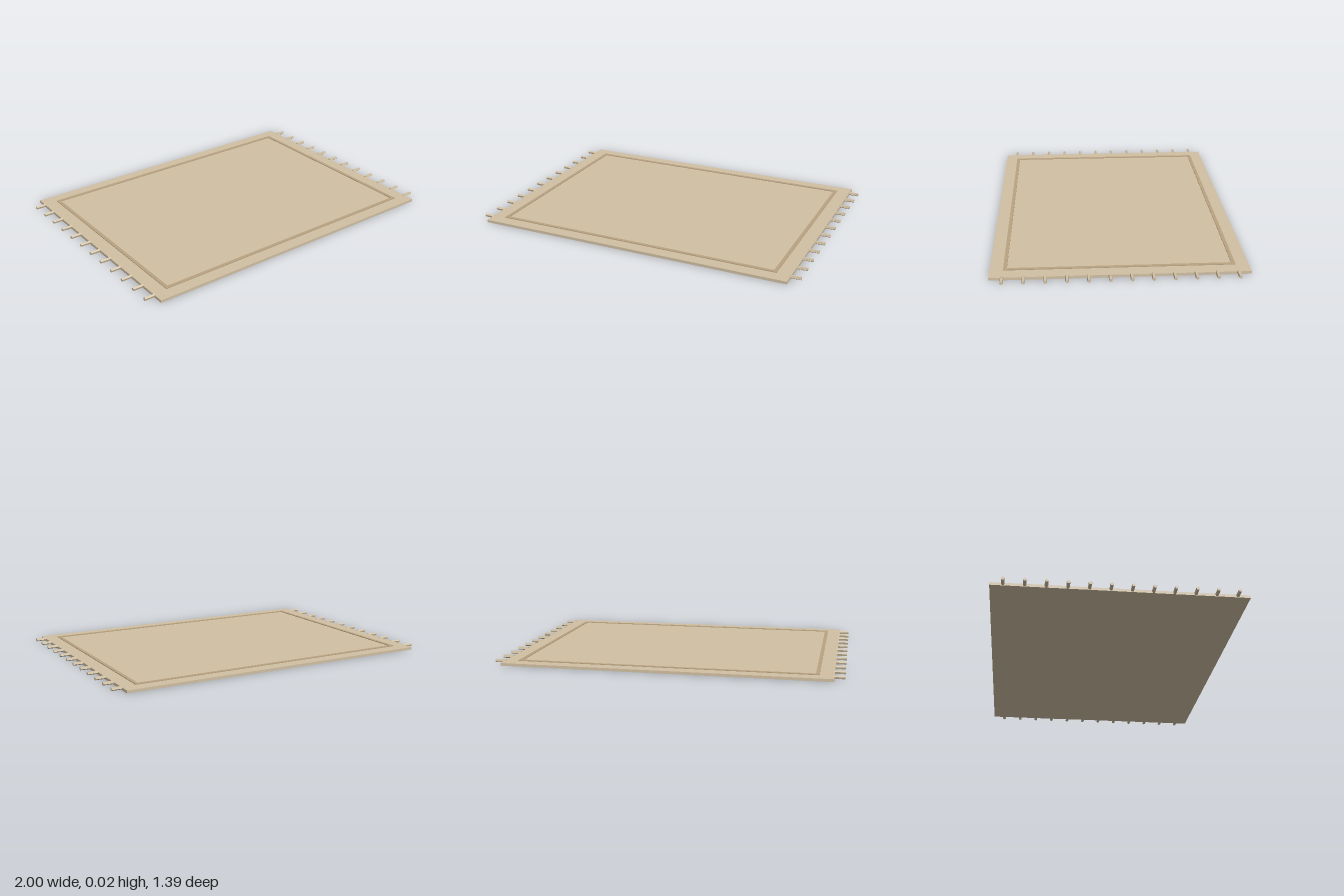
import * as THREE from 'three';

const material = (color) => new THREE.MeshStandardMaterial({ color, flatShading: true });

export function createModel() {
  const group = new THREE.Group();
  group.name = 'rug';
  const wool = material(0xd0bfa3);
  const trim = material(0xb9a382);
  const thickness = 0.016;

  const add = (name, geometry, mat, x, y, z) => {
    const mesh = new THREE.Mesh(geometry, mat);
    mesh.name = name;
    mesh.position.set(x, y, z);
    group.add(mesh);
  };

  // Flat woven slab
  add('rugBody', new THREE.BoxGeometry(1.884, thickness, 1.394), wool, 0, thickness / 2, 0);

  // Raised border frame, one extruded ring sunk slightly into the slab
  const rect = (path, w, d) => path.moveTo(-w, -d).lineTo(w, -d).lineTo(w, d).lineTo(-w, d).closePath();
  const frame = rect(new THREE.Shape(), 0.862, 0.625);
  frame.holes.push(rect(new THREE.Path(), 0.842, 0.605));
  const border = new THREE.ExtrudeGeometry(frame, { depth: 0.01, bevelEnabled: false });
  border.rotateX(-Math.PI / 2);
  add('borderTrim', border, trim, 0, 0.01, 0);

  // Five-sided tassels along both short ends
  const count = 12;
  const length = 0.064;
  for (const side of [-1, 1]) {
    const tassel = new THREE.CylinderGeometry(0.01, 0.01, length, 5);
    tassel.rotateY(-Math.PI / 2); // one ridge points down on the left end, up on the right end
    tassel.rotateZ(side * Math.PI / 2);
    for (let i = 0; i < count; i++) {
      const z = -0.627 + (i * 1.254) / (count - 1);
      add('tassel', tassel, wool, side * (1 - length / 2), side > 0 ? 0.013 : 0.01, z);
    }
  }
  return group;
}
